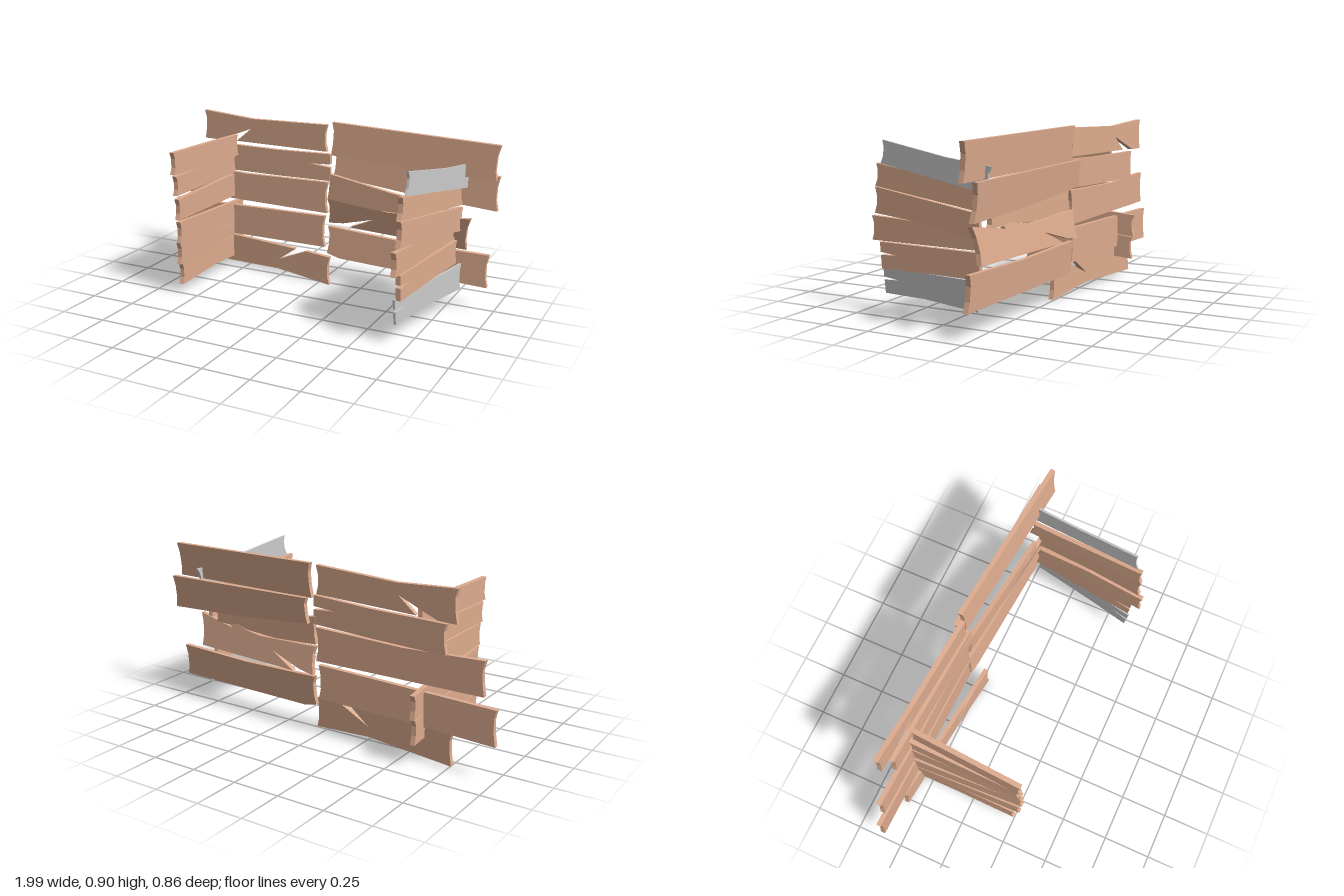
import * as THREE from 'three';

const wood = new THREE.MeshStandardMaterial({ color: 0xdeac8f, flatShading: true, side: THREE.DoubleSide });
const grey = new THREE.MeshStandardMaterial({ color: 0xcccccc, flatShading: true, side: THREE.DoubleSide });

// bottom and top edges: flat [s, y, ...] lists running along the plank; a sharp inner point is a split.
// across: offset of the plank's middle plane at its low-s and high-s ends; lean: offset per unit of height.
// endSplit: depth of a crack in the high-s end. alongZ: the plank runs in z instead of x.
function plank(name, { bottom, top, across, lean = 0, thick = 0.025, endSplit = 0, alongZ = false, mat = wood }) {
  const pairs = a => Array.from({ length: a.length / 2 }, (_, i) => new THREE.Vector2(a[2 * i], a[2 * i + 1]));
  const b = pairs(bottom), t = pairs(top);
  const lo = b[0], hi = b[b.length - 1], tLo = t[0], tHi = t[t.length - 1];
  const at = (p, q, k, ds) => new THREE.Vector2(p.x + (q.x - p.x) * k + ds, p.y + (q.y - p.y) * k);
  // worn ends, with an optional thin crack
  const highEnd = endSplit
    ? [at(hi, tHi, 0.5, 0), at(hi, tHi, 0.57, -endSplit), at(hi, tHi, 0.62, 0)]
    : [at(hi, tHi, 0.3, -0.012), at(hi, tHi, 0.7, -0.012)];
  const lowEnd = [at(lo, tLo, 0.75, 0.012), at(lo, tLo, 0.35, 0.01)];
  const shape = new THREE.Shape([...b, ...highEnd, ...t.reverse(), ...lowEnd]);
  const geo = new THREE.ExtrudeGeometry(shape, { depth: thick, bevelEnabled: false });
  const pos = geo.attributes.position;
  const midY = (lo.y + tLo.y + hi.y + tHi.y) / 4;
  for (let i = 0; i < pos.count; i++) {
    const s = pos.getX(i), y = pos.getY(i), d = pos.getZ(i) - thick / 2;
    const c = across[0] + (across[1] - across[0]) * (s - lo.x) / (hi.x - lo.x) + lean * (y - midY);
    if (alongZ) pos.setXYZ(i, c - d, y, s);
    else pos.setXYZ(i, s, y, c + d);
  }
  geo.computeVertexNormals();
  const mesh = new THREE.Mesh(geo, mat);
  mesh.name = name;
  return mesh;
}

function wall(name, planks, shared = {}) {
  const g = new THREE.Group();
  g.name = name;
  planks.forEach((p, i) => g.add(plank(name + 'Plank' + (i + 1), { ...shared, ...p })));
  return g;
}

export function createModel() {
  const model = new THREE.Group();
  model.name = 'plankFence';

  // right half of the back, top to bottom
  model.add(wall('backRight', [
    { bottom: [-0.8, 0.735, -0.7, 0.735, -0.48, 0.82, -0.58, 0.74, 0.015, 0.745],
      top: [-0.8, 0.9, -0.47, 0.878, 0.015, 0.893], across: [-0.37, -0.305] },
    { bottom: [-0.735, 0.57, -0.3, 0.575, 0.04, 0.585],
      top: [-0.735, 0.72, -0.3, 0.722, 0.04, 0.735], across: [-0.345, -0.295], endSplit: 0.13 },
    { bottom: [-0.93, 0.405, 0.02, 0.395], top: [-0.93, 0.578, -0.5, 0.56, 0.02, 0.572], across: [-0.335, -0.305] },
    { bottom: [-0.995, 0.175, -0.5, 0.19, 0.005, 0.195], top: [-0.995, 0.355, 0.005, 0.375], across: [-0.335, -0.305] },
    { bottom: [-0.77, 0.02, -0.27, 0.035, 0.07, 0.003],
      top: [-0.77, 0.19, -0.27, 0.178, -0.15, 0.175, -0.27, 0.09, -0.08, 0.173, 0.07, 0.165], across: [-0.325, -0.23] },
  ]));

  // left half of the back, top to bottom
  model.add(wall('backLeft', [
    { bottom: [0.035, 0.725, 0.98, 0.705], top: [0.035, 0.905, 0.99, 0.885], across: [-0.325, -0.245], lean: -0.08 },
    { bottom: [0.035, 0.6, 0.5, 0.56, 0.98, 0.535], top: [0.035, 0.735, 0.98, 0.712], across: [-0.36, -0.3], lean: -0.1 },
    { bottom: [0.025, 0.48, 0.3, 0.46, 0.74, 0.475], top: [0.025, 0.625, 0.4, 0.57, 0.74, 0.53], across: [-0.3, -0.235] },
    { bottom: [0.015, 0.33, 0.11, 0.342, 0.31, 0.4, 0.15, 0.325, 0.84, 0.322],
      top: [0.015, 0.475, 0.4, 0.455, 0.5, 0.465, 0.66, 0.51, 0.62, 0.46, 0.865, 0.5], across: [-0.33, -0.232], lean: 0.17 },
    { bottom: [0.02, 0.16, 0.1, 0.142, 0.96, 0.132], top: [0.02, 0.315, 0.5, 0.298, 0.96, 0.305], across: [-0.315, -0.25], lean: -0.08 },
  ]));

  // right side, top to bottom; two planks poke out behind the back
  model.add(wall('rightSide', [
    { bottom: [-0.31, 0.665, 0.29, 0.675], top: [-0.31, 0.785, -0.1, 0.79, 0.29, 0.795], across: [-0.565, -0.605] },
    { bottom: [-0.32, 0.56, 0.28, 0.56], top: [-0.32, 0.67, 0.28, 0.665], across: [-0.59, -0.6] },
    { bottom: [-0.33, 0.42, 0.29, 0.43], top: [-0.33, 0.55, 0.29, 0.545], across: [-0.595, -0.585] },
    { bottom: [-0.43, 0.248, 0.29, 0.305], top: [-0.43, 0.37, -0.33, 0.38, 0.29, 0.42], across: [-0.605, -0.58] },
    { bottom: [-0.42, 0.12, 0.28, 0.18], top: [-0.42, 0.245, 0.28, 0.3], across: [-0.605, -0.59] },
    { bottom: [-0.3, 0.055, -0.08, 0.067, 0.25, 0.055], top: [-0.3, 0.18, 0.25, 0.175], across: [-0.595, -0.6] },
  ], { alongZ: true }));

  // left side, top to bottom; first and last boards are thin grey ones
  model.add(wall('leftSide', [
    { bottom: [-0.28, 0.643, 0.36, 0.742], top: [-0.3, 0.765, -0.04, 0.793, 0.345, 0.855], across: [0.815, 0.715], mat: grey, thick: 0.012 },
    { bottom: [-0.28, 0.548, 0.4, 0.632],
      top: [-0.26, 0.655, -0.1, 0.674, 0.39, 0.742], across: [0.785, 0.7] },
    { bottom: [-0.24, 0.42, 0.12, 0.48, 0.405, 0.5], top: [-0.24, 0.548, 0.4, 0.628], across: [0.8, 0.7] },
    { bottom: [-0.22, 0.378, 0.43, 0.365], top: [-0.205, 0.43, 0.1, 0.478, 0.43, 0.485], across: [0.77, 0.69] },
    { bottom: [-0.23, 0.245, 0.1, 0.238, 0.37, 0.23], top: [-0.23, 0.37, 0.38, 0.36], across: [0.78, 0.7], endSplit: 0.1 },
    { bottom: [-0.23, 0.105, 0.1, 0.115, 0.365, 0.105], top: [-0.23, 0.246, 0.25, 0.235, 0.38, 0.235],
      across: [0.815, 0.685], mat: grey, thick: 0.012, endSplit: 0.1 },
  ], { alongZ: true }));

  return model;
}
